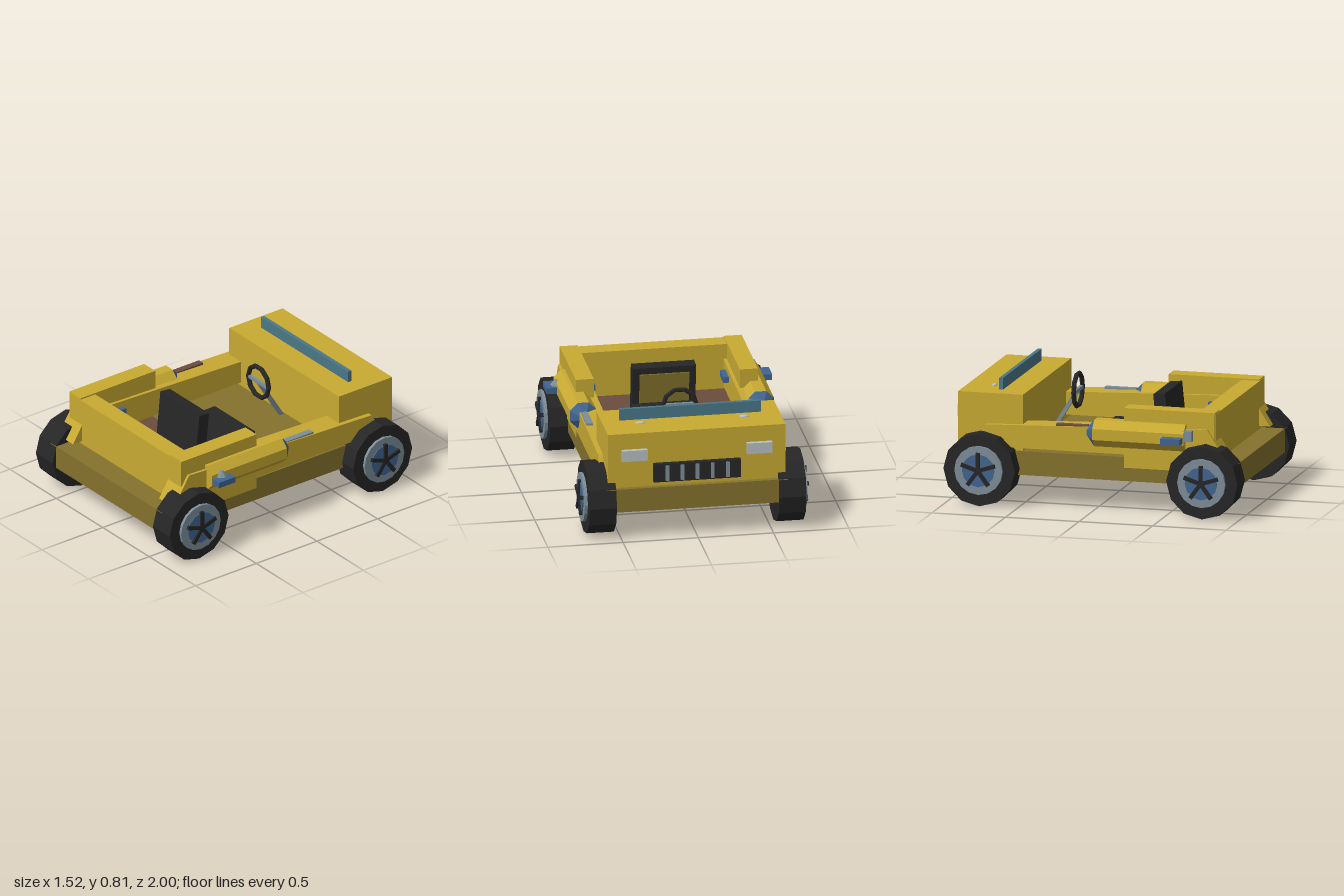
import * as THREE from 'three';

const paint = (name, color) => {
  const m = new THREE.MeshStandardMaterial({ color });
  m.name = name;
  return m;
};

export function createModel() {
  const yellow = paint('yellow body', 0xc8aa32);
  const olive = paint('olive chassis', 0x84722d);
  const black = paint('black rubber', 0x262626);
  const steel = paint('grey steel', 0x7d8e98);
  const blue = paint('blue metal', 0x416590);
  const teal = paint('teal glass', 0x4a7888);
  const brown = paint('brown wood', 0x6b4c3c);
  const silver = paint('pale lamp', 0xb8c0c2);

  const car = new THREE.Group();
  car.name = 'openCar';

  // Faceted normals for low-poly parts
  const flat = (g) => {
    const f = g.index ? g.toNonIndexed() : g;
    f.computeVertexNormals();
    return f;
  };
  const add = (name, geo, mat, parent = car) => {
    const m = new THREE.Mesh(geo, mat);
    m.name = name;
    parent.add(m);
    return m;
  };
  // Box given by its limits on each axis
  const box = (name, mat, [x0, x1], [y0, y1], [z0, z1], parent = car) => {
    const m = add(name, new THREE.BoxGeometry(x1 - x0, y1 - y0, z1 - z0), mat, parent);
    m.position.set((x0 + x1) / 2, (y0 + y1) / 2, (z0 + z1) / 2);
    return m;
  };
  // The same box on one side of the car
  const sideBox = (name, mat, s, [x0, x1], y, z) =>
    box(name, mat, s > 0 ? [x0, x1] : [-x1, -x0], y, z);

  // Chassis and main body
  box('chassis', olive, [-0.6, 0.6], [0.2, 0.36], [-0.97, 0.97]);
  box('hood', yellow, [-0.59, 0.59], [0.36, 0.735], [-0.935, -0.495]);
  box('rearPanel', yellow, [-0.6, 0.6], [0.36, 0.68], [0.69, 0.815]);
  box('bedFloor', brown, [-0.47, 0.47], [0.355, 0.37], [0.23, 0.7]);

  // Side walls with sloping ends over the wheels
  const wall = new THREE.Shape([
    [0.89, 0.382], [0.765, 0.58], [0.5, 0.57], [0, 0.555], [-0.74, 0.53], [-0.83, 0.385],
  ].map(([z, y]) => new THREE.Vector2(z, y)));
  const wallGeo = new THREE.ExtrudeGeometry(wall, { depth: 0.16, bevelEnabled: false });
  wallGeo.translate(0, 0, -0.08).rotateY(-Math.PI / 2);

  // Octagonal pod, its nose, and the tapered shapes lie along z
  const tube = (rFront, rBack, length, sides) => flat(
    new THREE.CylinderGeometry(rFront, rBack, length, sides)
      .rotateY(Math.PI / sides).rotateX(-Math.PI / 2));

  for (const s of [1, -1]) {
    const side = s > 0 ? 'left' : 'right';
    add(side + 'SideWall', wallGeo, yellow).position.x = s * 0.543;
    sideBox(side + 'RearBlock', yellow, s, [0.485, 0.605], [0.29, 0.69], [0.195, 0.812]);

    add(side + 'Pod', tube(0.096, 0.096, 0.62, 8), yellow).position.set(s * 0.59, 0.516, 0.31);
    add(side + 'PodNose', tube(0.035, 0.096, 0.055, 8), blue).position.set(s * 0.59, 0.516, -0.0275);
    sideBox(side + 'PodBarrel', s > 0 ? steel : brown, s, [0.57, 0.615], [0.515, 0.56], [-0.265, -0.05]);
    sideBox(side + 'CrossBracket', blue, s, [0.425, 0.75], [0.49, 0.53], [0.48, 0.615]);

    sideBox(side + 'Headlight', silver, s, [0.33, 0.5], [0.55, 0.625], [-0.965, -0.93]);
    const knob = add(side + 'HoodKnob', new THREE.SphereGeometry(0.036, 8, 6), silver);
    knob.position.set(s * 0.345, 0.735, -0.755);
    knob.scale.set(1, 0.35, 0.5);
  }

  // Fittings that differ from side to side
  const cap = add('leftBracketCap', flat(new THREE.CylinderGeometry(0.015, 0.042, 0.035, 8)), steel);
  cap.position.set(0.675, 0.547, 0.54);
  box('rightTailBox', steel, [-0.665, -0.62], [0.5, 0.57], [0.61, 0.67]);

  // Grille with upright bars
  box('grille', black, [-0.29, 0.29], [0.395, 0.52], [-0.97, -0.93]);
  for (let i = -2; i <= 2; i++) {
    box('grilleBar', steel, [i * 0.1 - 0.012, i * 0.1 + 0.012], [0.405, 0.51], [-0.982, -0.965]);
  }

  box('windscreen', teal, [-0.47, 0.47], [0.73, 0.813], [-0.69, -0.664]);

  // Steering wheel, crossbar and column
  const wheelRing = add('steeringWheel', flat(new THREE.TorusGeometry(0.11, 0.016, 6, 10)), black);
  wheelRing.position.set(0, 0.66, -0.285);
  box('steeringCrossbar', steel, [-0.1, 0.1], [0.648, 0.672], [-0.295, -0.275]);
  const from = new THREE.Vector3(0, 0.66, -0.285);
  const to = new THREE.Vector3(0, 0.35, -0.475);
  const column = add('steeringColumn', new THREE.BoxGeometry(0.026, 0.026, from.distanceTo(to)), steel);
  column.position.copy(from).lerp(to, 0.5);
  column.lookAt(to);

  // Seat with a slightly leaning back
  box('seatCushion', black, [-0.215, 0.215], [0.36, 0.45], [-0.09, 0.33]);
  const back = new THREE.Group();
  back.name = 'seatBack';
  back.position.set(0, 0.55, 0.34);
  back.rotation.x = -0.1;
  car.add(back);
  box('backrest', black, [-0.21, 0.21], [-0.17, 0.16], [-0.04, 0.04], back);
  box('backrestPanel', olive, [-0.165, 0.165], [-0.09, 0.115], [-0.049, -0.04], back);

  // Wheels: tyre, rim, hub disc and five spokes
  const disc = (r, length, sides) =>
    flat(new THREE.CylinderGeometry(r, r, length, sides).rotateZ(-Math.PI / 2));
  const tyreGeo = disc(0.243, 0.18, 12);
  const rimGeo = disc(0.163, 0.05, 16);
  const hubGeo = disc(0.11, 0.02, 12);
  const spokeGeo = new THREE.BoxGeometry(0.02, 0.12, 0.026).translate(0, 0.06, 0);

  for (const s of [1, -1]) {
    for (const end of [1, -1]) {
      const wheel = new THREE.Group();
      wheel.name = (end < 0 ? 'grilleEnd' : 'bedEnd') + (s > 0 ? 'Left' : 'Right') + 'Wheel';
      wheel.position.set(s * 0.63, 0.243, end * 0.757);
      if (s < 0) wheel.rotation.y = Math.PI;
      add('tyre', tyreGeo, black, wheel);
      add('rim', rimGeo, steel, wheel).position.x = 0.085;
      add('hubDisc', hubGeo, blue, wheel).position.x = 0.107;
      for (let i = 0; i < 5; i++) {
        const spoke = add('spoke', spokeGeo, black, wheel);
        spoke.position.x = 0.119;
        spoke.rotation.x = (i * Math.PI * 2) / 5;
      }
      car.add(wheel);
    }
  }

  return car;
}
